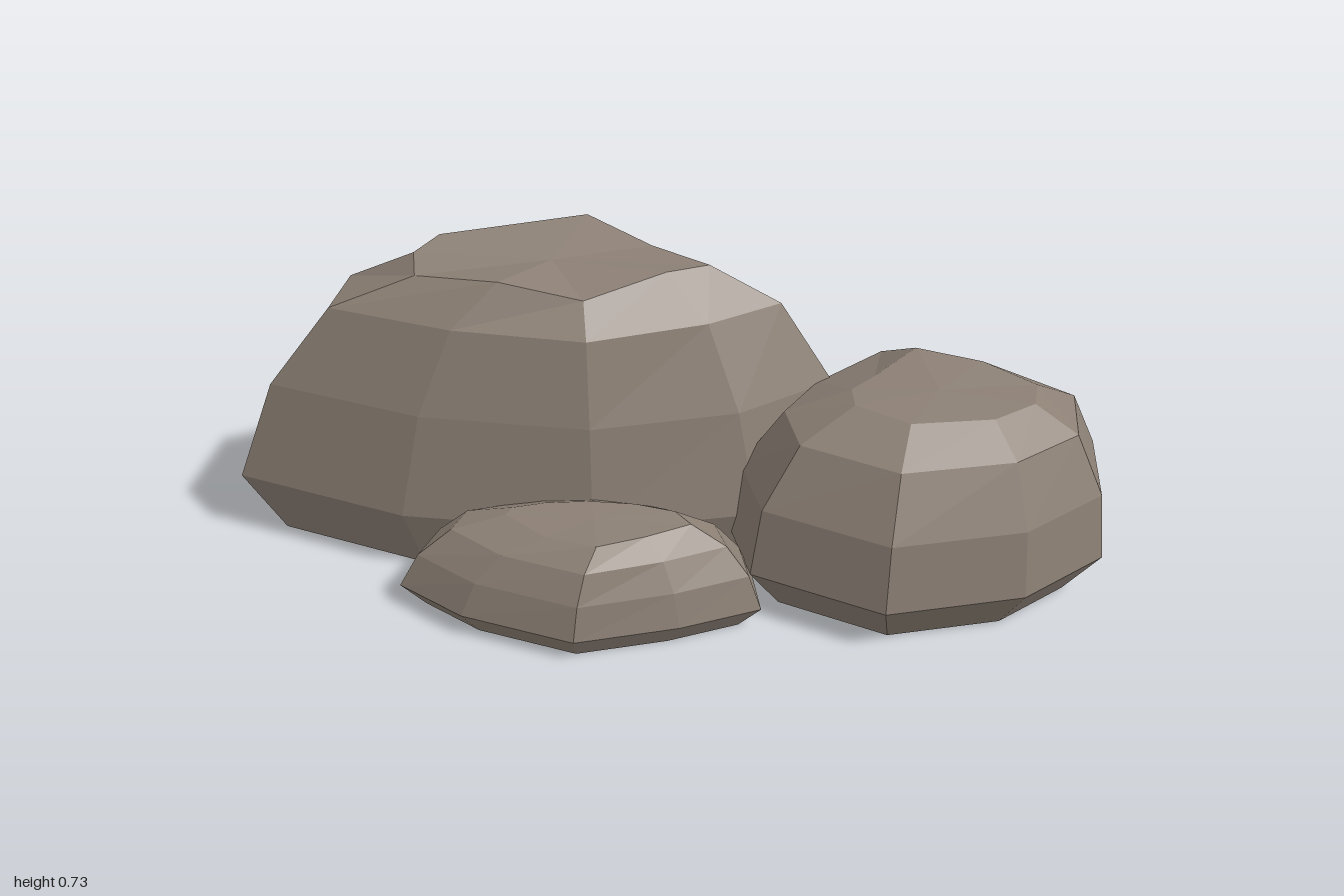
import * as THREE from 'three';

// Lofts a faceted boulder from its widest outline [x, z] up to its crown [x, y, z].
// Levels are [height, blend]: blend 0 is the outline, 1 is the crown.
function makeRock(name, material, { outline, crown, levels, baseScale }) {
  const n = outline.length;
  const cx = outline.reduce((s, p) => s + p[0], 0) / n;
  const cz = outline.reduce((s, p) => s + p[1], 0) / n;

  // Tucked-in foot, blended middle rings, then the uneven crown
  const rings = [
    outline.map(([x, z]) => [cx + (x - cx) * baseScale, 0, cz + (z - cz) * baseScale]),
    ...levels.map(([y, t]) => outline.map(([x, z], i) => [
      THREE.MathUtils.lerp(x, crown[i][0], t),
      y + (crown[i][1] - crown[0][1]) * t * 0.4,
      THREE.MathUtils.lerp(z, crown[i][2], t),
    ])),
    crown,
  ];
  const middle = (ring) => [0, 1, 2].map((k) => ring.reduce((s, p) => s + p[k], 0) / n);
  const bottom = middle(rings[0]);
  const top = middle(crown);

  const positions = [];
  const tri = (...corners) => corners.forEach((p) => positions.push(...p));
  for (let i = 0; i < n; i++) {
    const j = (i + 1) % n;
    for (let r = 0; r < rings.length - 1; r++) {
      const lo = rings[r], hi = rings[r + 1];
      tri(lo[j], lo[i], hi[i]);
      tri(lo[j], hi[i], hi[j]);
    }
    tri(top, crown[j], crown[i]);
    tri(bottom, rings[0][i], rings[0][j]);
  }
  const geometry = new THREE.BufferGeometry();
  geometry.setAttribute('position', new THREE.Float32BufferAttribute(positions, 3));
  geometry.computeVertexNormals();
  const mesh = new THREE.Mesh(geometry, material);
  mesh.name = name;
  return mesh;
}

export function createModel() {
  const group = new THREE.Group();
  group.name = 'rockCluster';
  const stone = new THREE.MeshStandardMaterial({ color: 0x8c8075, flatShading: true });

  // Tall boulder at the back
  group.add(makeRock('largeRock', stone, {
    outline: [[-1, 0.07], [-0.96, -0.2], [-0.67, -0.37], [-0.27, -0.5], [0.08, -0.33],
      [0.45, -0.11], [0.22, 0.1], [-0.14, 0.21], [-0.58, 0.2]],
    crown: [[-0.56, 0.67, 0.02], [-0.58, 0.69, -0.06], [-0.53, 0.715, -0.11],
      [-0.21, 0.725, -0.24], [-0.05, 0.69, -0.16], [0.09, 0.685, -0.08],
      [0, 0.69, -0.02], [-0.17, 0.66, 0.085], [-0.36, 0.69, 0.075]],
    levels: [[0.15, 0], [0.395, 0.21], [0.59, 0.55]],
    baseScale: 0.87,
  }));

  // Rounded boulder at the side
  group.add(makeRock('mediumRock', stone, {
    outline: [[0.42, -0.36], [0.72, -0.27], [1, -0.15], [1, 0.11], [0.82, 0.29],
      [0.52, 0.39], [0.22, 0.27], [0.15, 0.06], [0.23, -0.15]],
    crown: [[0.56, 0.485, -0.12], [0.71, 0.475, -0.09], [0.83, 0.46, -0.02],
      [0.82, 0.46, 0.07], [0.73, 0.46, 0.15], [0.55, 0.465, 0.2],
      [0.43, 0.47, 0.14], [0.42, 0.465, 0.06], [0.47, 0.465, -0.01]],
    levels: [[0.1, 0], [0.26, 0.1], [0.405, 0.46]],
    baseScale: 0.82,
  }));

  // Low stone in front
  group.add(makeRock('smallRock', stone, {
    outline: [[-0.56, 0.33], [-0.53, 0.2], [-0.3, 0.1], [-0.1, 0.06], [0.08, 0.12],
      [0.22, 0.2], [0.25, 0.33], [0.08, 0.42], [-0.14, 0.5], [-0.4, 0.43]],
    crown: [[-0.32, 0.23, 0.29], [-0.31, 0.23, 0.26], [-0.24, 0.235, 0.24],
      [-0.14, 0.24, 0.23], [-0.04, 0.24, 0.23], [0.05, 0.24, 0.25],
      [0.09, 0.235, 0.29], [0, 0.235, 0.35], [-0.1, 0.24, 0.41], [-0.22, 0.23, 0.37]],
    levels: [[0.05, 0], [0.13, 0.18], [0.195, 0.5]],
    baseScale: 0.87,
  }));
  return group;
}
